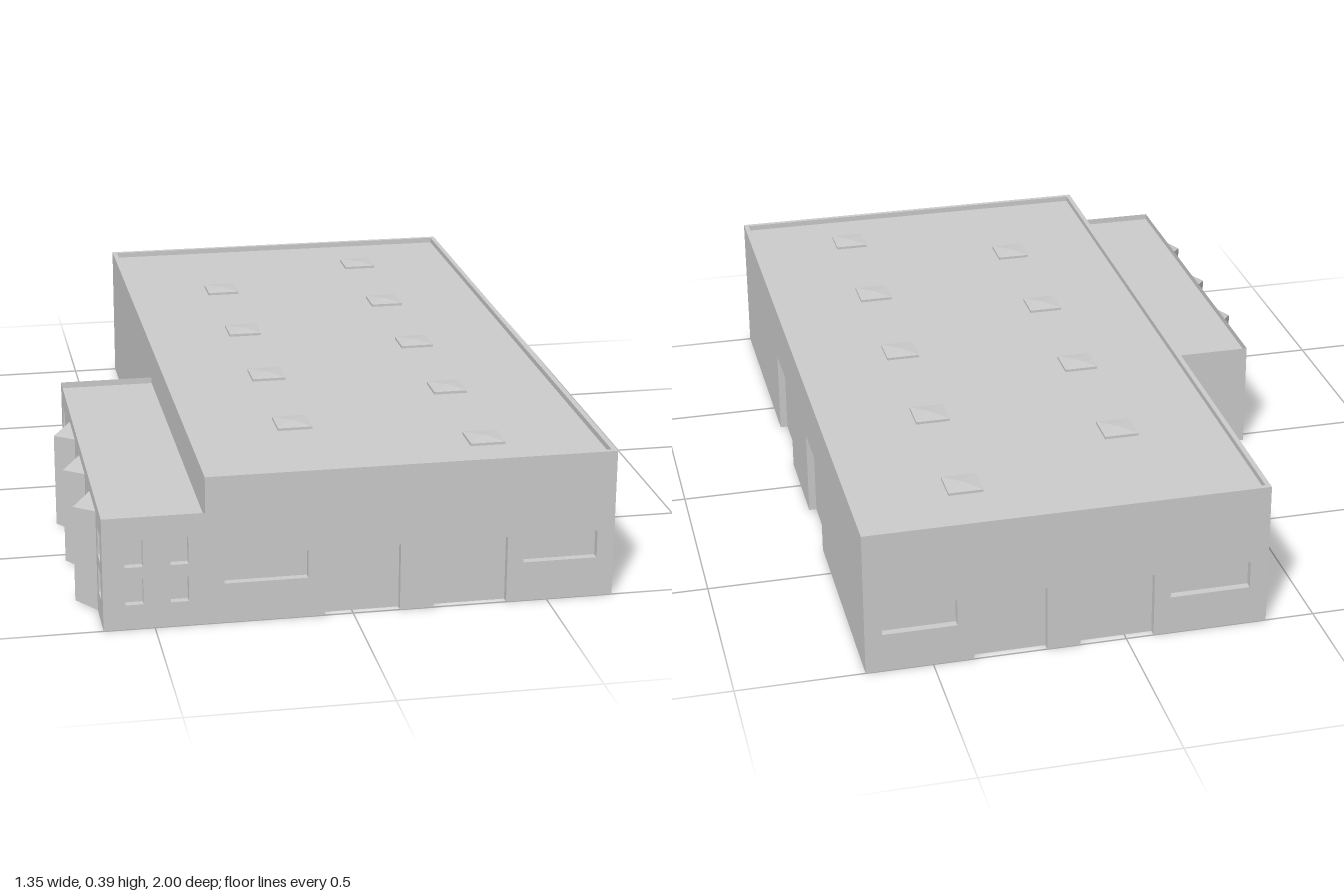
import * as THREE from 'three';

const material = new THREE.MeshStandardMaterial({ color: 0xcccccc, flatShading: true, side: THREE.DoubleSide });

// Main hall, annex and height limits
const X0 = -0.372, X1 = 0.672, AX = -0.628, AZ = -0.035;
const ROOF = 0.375, TOP = 0.39, ANNEX_ROOF = 0.28, ANNEX_TOP = 0.297;
const DEPTH = 0.02;

function add(parent, name, geometry) {
  const mesh = new THREE.Mesh(geometry, material);
  mesh.name = name;
  parent.add(mesh);
  return mesh;
}

function rect(u0, u1, v0, v1, Type = THREE.Shape) {
  const s = new Type();
  s.moveTo(u0, v0).lineTo(u1, v0).lineTo(u1, v1).lineTo(u0, v1).closePath();
  return s;
}

function polygons(faces) {
  // Fan-triangulates a few small corner loops
  const p = [];
  for (const f of faces)
    for (let i = 1; i < f.length - 1; i++) p.push(...f[0], ...f[i], ...f[i + 1]);
  const g = new THREE.BufferGeometry();
  g.setAttribute('position', new THREE.Float32BufferAttribute(p, 3));
  g.computeVertexNormals();
  return g;
}

// Recessed pane with its reveal; sits behind the wall plane z = 0
function recess(parent, name, [a, b, c, d]) {
  const z = -DEPTH;
  const faces = [
    [[a, c, z], [b, c, z], [b, d, z], [a, d, z]],
    [[a, c, 0], [a, c, z], [a, d, z], [a, d, 0]],
    [[b, c, z], [b, c, 0], [b, d, 0], [b, d, z]],
    [[a, d, z], [b, d, z], [b, d, 0], [a, d, 0]],
  ];
  if (c > 0) faces.push([[a, c, 0], [b, c, 0], [b, c, z], [a, c, z]]);
  add(parent, name, polygons(faces));
}

// Sheet wall in local XY facing +z; openings that reach the ground become notches
function wall(parent, name, [u0, u1, v0, v1], turn, position, { windows = [], doors = [], gaps = [] } = {}) {
  const group = new THREE.Group();
  group.name = name;
  group.rotation.y = turn;
  group.position.set(...position);
  parent.add(group);
  const shape = new THREE.Shape();
  shape.moveTo(u0, v0);
  for (const [a, b, , d] of [...doors, ...gaps].sort((p, q) => p[0] - q[0]))
    shape.lineTo(a, v0).lineTo(a, d).lineTo(b, d).lineTo(b, v0);
  shape.lineTo(u1, v0).lineTo(u1, v1).lineTo(u0, v1).closePath();
  for (const w of windows) shape.holes.push(rect(...w, THREE.Path));
  add(group, name + 'Sheet', new THREE.ShapeGeometry(shape));
  windows.forEach(w => recess(group, 'window', w));
  doors.forEach(d => recess(group, 'door', d));
}

const mirror = list => list.map(([a, b, c, d]) => [-b, -a, c, d]);

// Two stacked small windows centred on each u
const stacked = (centres, w) => centres.flatMap(u =>
  [[0.065, 0.133], [0.165, 0.237]].map(([lo, hi]) => [u - w / 2, u + w / 2, lo, hi]));

export function createModel() {
  const model = new THREE.Group();
  model.name = 'building';

  // Main hall walls
  const longWindows = [[-0.325, -0.115, 0.105, 0.178], [0.437, 0.628, 0.105, 0.178]];
  const gates = [[-0.072, 0.12, 0, 0.178], [0.207, 0.395, 0, 0.178]];
  wall(model, 'frontWall', [X0, X1, 0, ROOF], 0, [0, 0, 1], { windows: longWindows, doors: gates });
  wall(model, 'backWall', [-X1, -X0, 0, ROOF], Math.PI, [0, 0, -1],
    { windows: mirror(longWindows), doors: mirror(gates) });
  wall(model, 'leftWall', [-1, 1, 0, ROOF], Math.PI / 2, [X1, 0, 0],
    { doors: [[-0.37, -0.13, 0, 0.235], [0.145, 0.37, 0, 0.235]] });
  wall(model, 'rightWall', [-1, AZ, 0, ROOF], -Math.PI / 2, [X0, 0, 0]);
  wall(model, 'rightUpperWall', [AZ, 1, ANNEX_ROOF, ROOF], -Math.PI / 2, [X0, 0, 0]);

  // Parapet frame around the main roof
  const rim = rect(X0, X1, -1, 1);
  rim.holes.push(rect(X0 + 0.013, X1 - 0.013, -0.987, 0.987, THREE.Path));
  const frame = new THREE.ExtrudeGeometry(rim, { depth: TOP - ROOF, bevelEnabled: false });
  add(model, 'parapet', frame.rotateX(-Math.PI / 2).translate(0, ROOF, 0));

  // Main roof with openings under low pyramid skylights
  const roof = rect(X0, X1, -1, 1);
  const h = 0.045, base = 0.007, peak = 0.012;
  const spots = [
    ...[-0.78, -0.38, 0.02, 0.42, 0.82].map(z => [0.373, z]),
    ...[-0.58, -0.17, 0.23, 0.625].map(z => [-0.088, z]),
  ];
  for (const [x, z] of spots) {
    roof.holes.push(rect(x - h, x + h, -z - h, -z + h, THREE.Path));
    const c = [[-h, h], [h, h], [h, -h], [-h, -h]];
    const faces = c.flatMap(([ax, az], i) => {
      const [bx, bz] = c[(i + 1) % 4];
      return [
        [[ax, 0, az], [bx, 0, bz], [bx, base, bz], [ax, base, az]],
        [[ax, base, az], [bx, base, bz], [0, peak, 0]],
      ];
    });
    add(model, 'skylight', polygons(faces)).position.set(x, ROOF, z);
  }
  add(model, 'mainRoof', new THREE.ShapeGeometry(roof).rotateX(-Math.PI / 2).translate(0, ROOF, 0));

  // Annex walls and its sunken roof
  const bays = [0.28, 0.54, 0.8], half = 0.07, bayTop = 0.267;
  wall(model, 'annexFrontWall', [AX, X0, 0, ANNEX_TOP], 0, [0, 0, 1],
    { windows: stacked([-0.55, -0.437], 0.045) });
  wall(model, 'annexBackWall', [-X0, -AX, 0, ANNEX_TOP], Math.PI, [0, 0, AZ],
    { windows: stacked([0.435], 0.045) });
  wall(model, 'annexSideWall', [AZ, 1, 0, ANNEX_TOP], -Math.PI / 2, [AX, 0, 0], {
    windows: stacked([0.04, 0.165, 0.41, 0.67, 0.93], 0.055),
    gaps: bays.map(z => [z - half, z + half, 0, bayTop]),
  });
  add(model, 'annexRoof', new THREE.ShapeGeometry(rect(AX, X0, -1, -AZ))
    .rotateX(-Math.PI / 2).translate(0, ANNEX_ROOF, 0));

  // Pointed bays with a sloping top, open to the annex
  const tip = -0.05, tipTop = 0.255;
  for (const z of bays) {
    add(model, 'bay', polygons([
      [[0, 0, -half], [tip, 0, 0], [tip, tipTop, 0], [0, bayTop, -half]],
      [[tip, 0, 0], [0, 0, half], [0, bayTop, half], [tip, tipTop, 0]],
      [[0, bayTop, -half], [tip, tipTop, 0], [0, bayTop, half]],
    ])).position.set(AX, 0, z);
  }
  return model;
}
